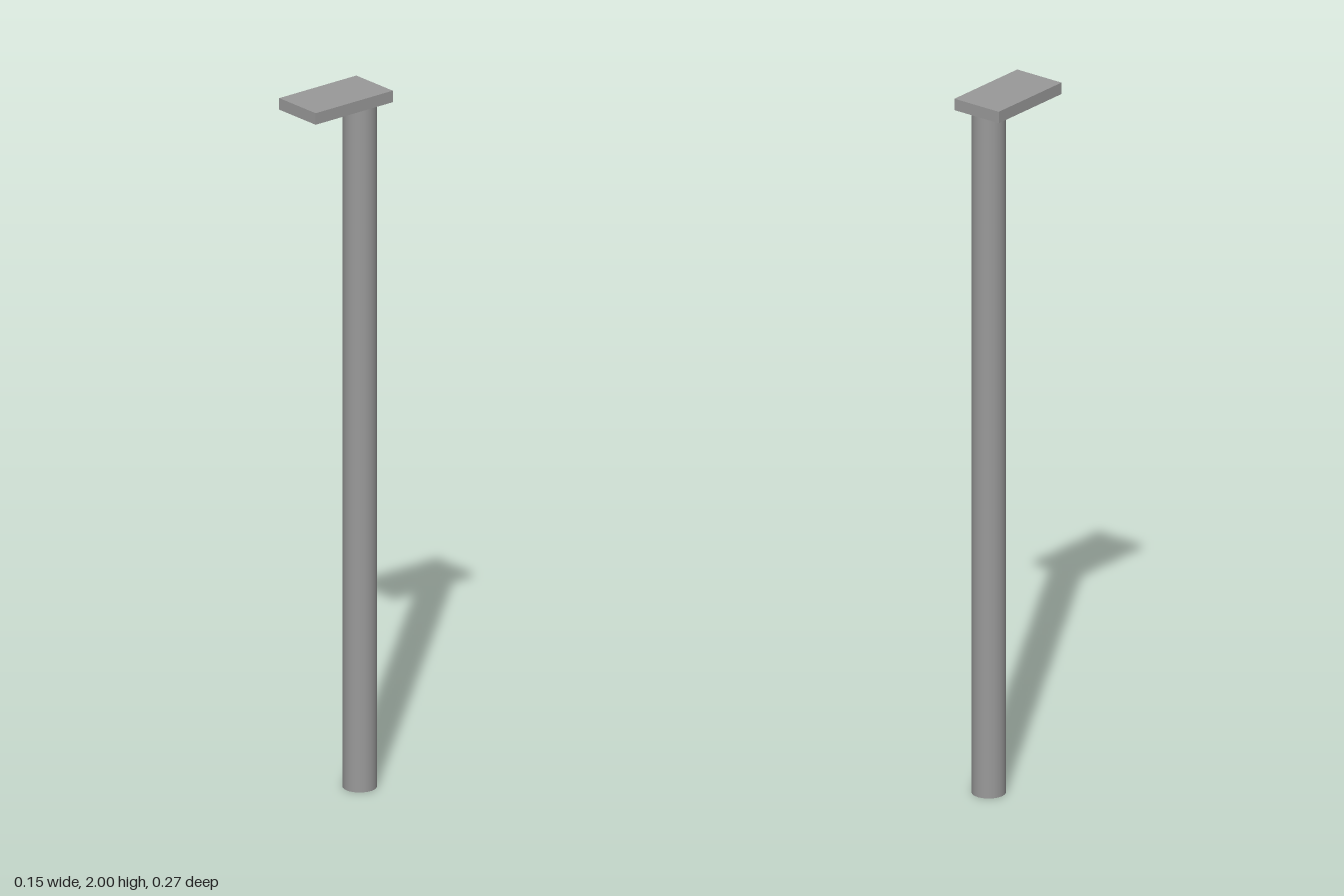
import * as THREE from 'three';

const grey = new THREE.MeshStandardMaterial({ color: 0x999999 });

function addPart(group, name, geometry, x, y, z) {
  const mesh = new THREE.Mesh(geometry, grey);
  mesh.name = name;
  mesh.position.set(x, y, z);
  group.add(mesh);
}

// Rectangle outline, with shape y standing for world z
function rectangle(Type, x0, z0, x1, z1) {
  return new Type([[x0, z0], [x1, z0], [x1, z1], [x0, z1]].map(([x, z]) => new THREE.Vector2(x, z)));
}

export function createModel() {
  const group = new THREE.Group();
  group.name = 'streetLamp';
  const halfWidth = 0.076, halfDepth = 0.135;
  const headBottom = 1.967, recess = 0.008;

  // Round pole, set towards the back of the lamp head
  addPart(group, 'pole', new THREE.CylinderGeometry(0.046, 0.046, headBottom, 32), 0, headBottom / 2, -0.083);

  // Solid upper part of the lamp head; its underside closes the recess
  const capHeight = 2 - headBottom - recess;
  addPart(group, 'headCap', new THREE.BoxGeometry(halfWidth * 2, capHeight, halfDepth * 2), 0, 2 - capHeight / 2, 0);

  // Rim below it, with an opening for the light at the front
  const rim = rectangle(THREE.Shape, -halfWidth, -halfDepth, halfWidth, halfDepth);
  rim.holes.push(rectangle(THREE.Path, -0.055, 0.015, 0.055, 0.112));
  const rimGeometry = new THREE.ExtrudeGeometry(rim, { depth: recess, bevelEnabled: false });
  rimGeometry.rotateX(Math.PI / 2);
  addPart(group, 'headRim', rimGeometry, 0, headBottom + recess, 0);

  // Light panel inside the recess
  addPart(group, 'lightPanel', new THREE.BoxGeometry(0.094, 0.004, 0.081), 0, headBottom + recess - 0.002, 0.0635);

  return group;
}
